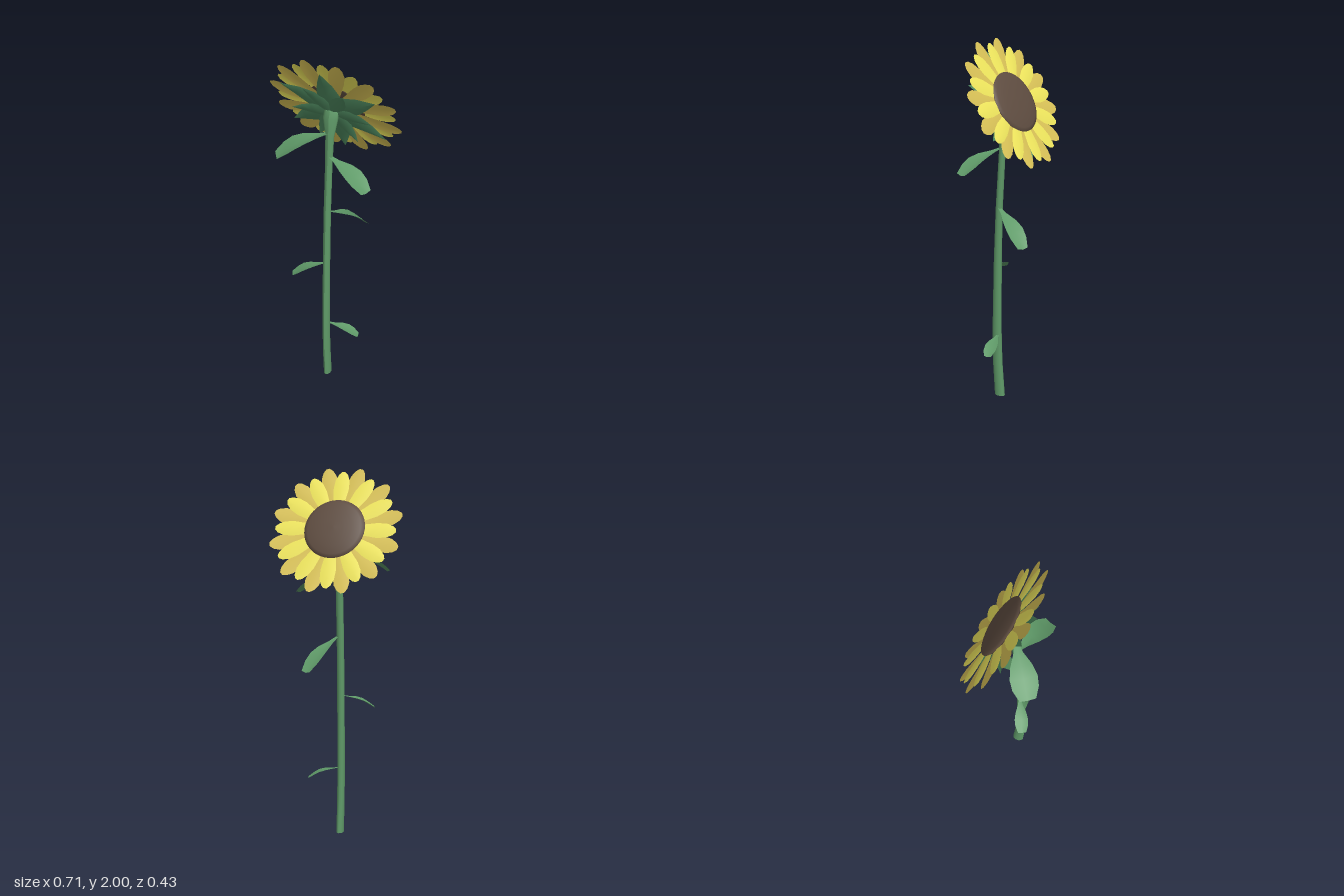
import * as THREE from 'three';

const paint = (color) => new THREE.MeshStandardMaterial({ color, side: THREE.DoubleSide });
const GREEN = paint(0x5f9a68), DARK_GREEN = paint(0x4f8a60);
const YELLOW = paint(0xf0e75e), GOLD = paint(0xd9c257), BROWN = paint(0x5e4c40);

// Three-column strip: each section is { p: centre, side: half-width vector, fold: offset of both edges }
function strip(sections) {
  const pos = [], index = [];
  sections.forEach(({ p, side, fold }, i) => {
    for (const s of [-1, 0, 1]) {
      const v = p.clone().addScaledVector(side, s).addScaledVector(fold, Math.abs(s));
      pos.push(v.x, v.y, v.z);
    }
    if (i === 0) return;
    for (let c = 0; c < 2; c++) {
      const a = (i - 1) * 3 + c, b = a + 3;
      index.push(a, a + 1, b + 1, a, b + 1, b);
    }
  });
  const g = new THREE.BufferGeometry();
  g.setAttribute('position', new THREE.Float32BufferAttribute(pos, 3));
  g.setIndex(index);
  g.computeVertexNormals();
  return g;
}

// Blade along +y from rows of [radius, half width, height of centre, edge offset]
const blade = (rows) => strip(rows.map(([r, w, z, f]) => ({
  p: new THREE.Vector3(0, r, z), side: new THREE.Vector3(w, 0, 0), fold: new THREE.Vector3(0, 0, f),
})));

// Copies of one blade fanned about the z axis
function ring(name, geometry, material, count, offset) {
  const group = new THREE.Group();
  group.name = name;
  for (let i = 0; i < count; i++) {
    const mesh = new THREE.Mesh(geometry, material);
    mesh.name = name + (i + 1);
    mesh.rotation.z = ((i + offset) / count) * Math.PI * 2;
    group.add(mesh);
  }
  return group;
}

// Stem: cylinder rows moved to [y, z, x radius, z radius]
function stem() {
  const rows = [
    [0, 0.05, 0.02, 0.032], [0.2, 0.064, 0.02, 0.03], [0.4, 0.068, 0.02, 0.028], [0.8, 0.062, 0.02, 0.023],
    [1.1, 0.052, 0.02, 0.019], [1.4, 0.033, 0.02, 0.017], [1.55, 0.022, 0.024, 0.018], [1.65, 0.012, 0.042, 0.024],
    [1.69, 0, 0.04, 0.02],
  ];
  const g = new THREE.CylinderGeometry(1, 1, 1, 10, rows.length - 1);
  const p = g.attributes.position;
  for (let i = 0; i < p.count; i++) {
    const [y, z, rx, rz] = rows[Math.round((p.getY(i) + 0.5) * (rows.length - 1))];
    p.setXYZ(i, p.getX(i) * rx, y, z + p.getZ(i) * rz);
  }
  g.computeVertexNormals();
  const mesh = new THREE.Mesh(g, GREEN);
  mesh.name = 'stem';
  return mesh;
}

// Stem leaf: an arched blade from base to tip, blunt at the end
function leaf(name, base, tip, width) {
  const a = new THREE.Vector3(...base), d = new THREE.Vector3(...tip).sub(a);
  const across = new THREE.Vector3(d.z, 0, -d.x).normalize();
  const rows = [[0, 0.16, 0], [0.2, 0.35, 0.06], [0.45, 0.8, 0.13], [0.65, 1, 0.14], [0.82, 0.95, 0.08], [1, 0.6, 0]];
  const mesh = new THREE.Mesh(strip(rows.map(([t, w, lift]) => ({
    p: a.clone().addScaledVector(d, t).add(new THREE.Vector3(0, lift * d.length() * 0.5, 0)),
    side: across.clone().multiplyScalar((w * width) / 2),
    fold: new THREE.Vector3(0, w * width * 0.12, 0),
  }))), GREEN);
  mesh.name = name;
  return mesh;
}

// Flower head: local y runs up the face, local -z is the way it looks
function flowerHead() {
  const head = new THREE.Group();
  head.name = 'flowerHead';
  head.position.set(0, 1.69, -0.04);
  head.rotation.x = 0.5;

  const outer = blade([[0.08, 0.02, 0.004, 0], [0.17, 0.032, 0.004, 0.003], [0.25, 0.043, 0.002, 0.005],
    [0.31, 0.042, 0.001, 0.004], [0.345, 0.028, 0, 0.002], [0.363, 0.01, 0, 0]]);
  const inner = blade([[0.08, 0.018, -0.008, 0], [0.16, 0.032, -0.01, 0.004], [0.23, 0.042, -0.011, 0.006],
    [0.28, 0.039, -0.01, 0.005], [0.315, 0.025, -0.008, 0.003], [0.331, 0.009, -0.007, 0]]);
  head.add(ring('outerPetal', outer, GOLD, 12, 0.5), ring('innerPetal', inner, YELLOW, 12, 0));

  // Green sepals behind the petals, the short ones curling away
  const longSepal = blade([[0, 0.03, 0.03, -0.004], [0.07, 0.062, 0.034, -0.012], [0.13, 0.066, 0.035, -0.016],
    [0.21, 0.042, 0.032, -0.012], [0.305, 0.001, 0.03, 0]]);
  const shortSepal = blade([[0, 0.025, 0.045, -0.004], [0.06, 0.042, 0.05, -0.012], [0.11, 0.042, 0.052, -0.014],
    [0.165, 0.026, 0.054, -0.008], [0.22, 0.001, 0.058, 0]]);
  head.add(ring('longSepal', longSepal, DARK_GREEN, 6, 0), ring('shortSepal', shortSepal, DARK_GREEN, 6, 0.5));

  // Shallow domed seed disc
  const dome = [[0, 0.032], [0.05, 0.031], [0.1, 0.027], [0.145, 0.02], [0.165, 0.012], [0.16, 0.004], [0, 0.004]];
  const disc = new THREE.Mesh(new THREE.LatheGeometry(dome.map(([r, h]) => new THREE.Vector2(r, h)), 40), BROWN);
  disc.name = 'seedDisc';
  disc.rotation.x = -Math.PI / 2;
  head.add(disc);
  return head;
}

export function createModel() {
  const model = new THREE.Group();
  model.name = 'sunflower';
  model.add(
    stem(),
    flowerHead(),
    leaf('upperRightLeaf', [-0.005, 1.57, 0.03], [-0.225, 1.455, 0.185], 0.14),
    leaf('upperLeftLeaf', [0.005, 1.44, 0.035], [0.255, 1.33, 0.12], 0.115),
    leaf('backLeaf', [0.01, 1.11, 0.045], [0.12, 0.945, -0.175], 0.1),
    leaf('lowerRightLeaf', [-0.01, 0.78, 0.06], [-0.17, 0.705, 0.14], 0.075),
    leaf('lowerLeftLeaf', [0.01, 0.37, 0.055], [0.175, 0.305, 0.015], 0.07),
  );
  return model;
}
